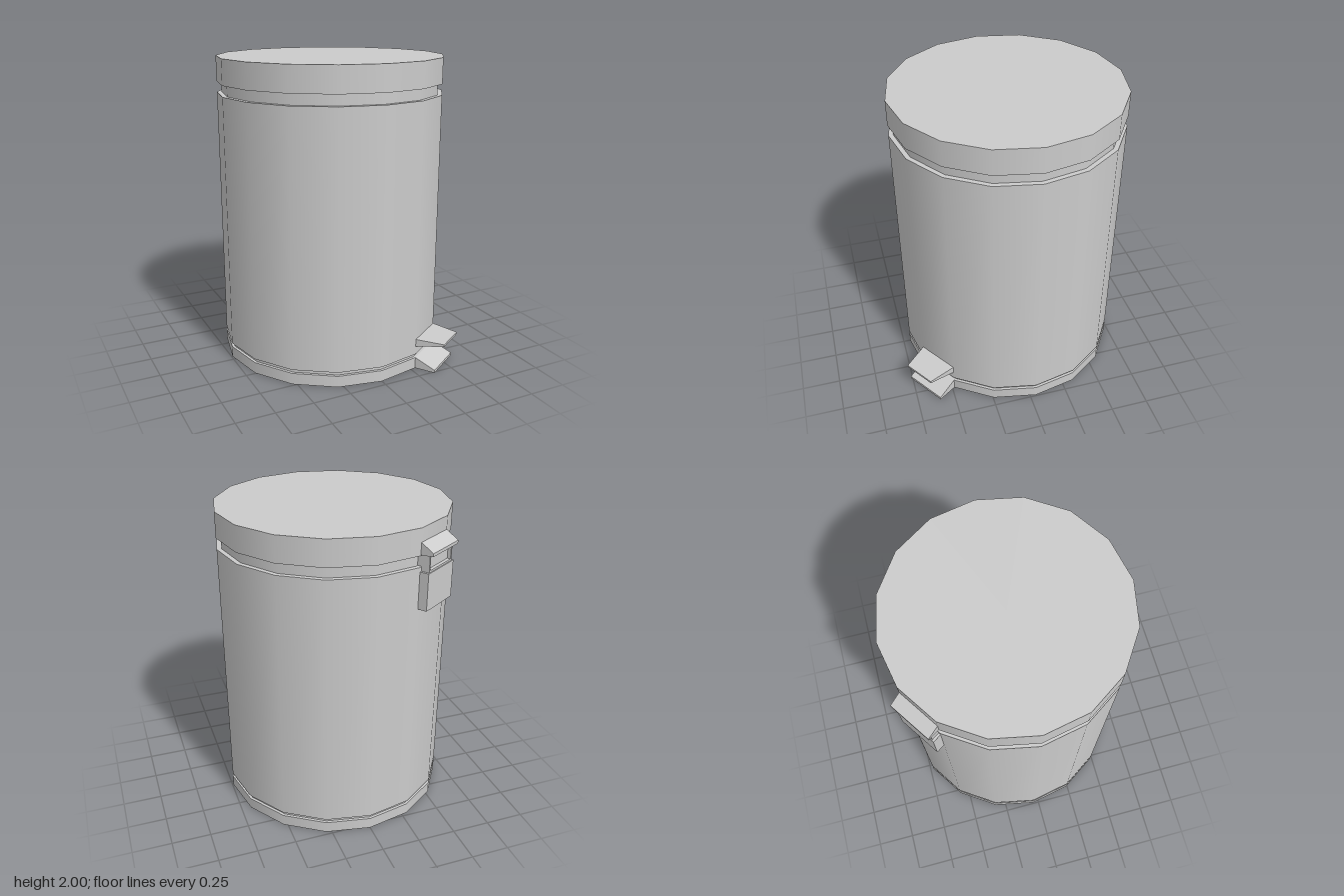
import * as THREE from 'three';

const SIDES = 16;
const RADIUS = 0.743;
const APOTHEM = RADIUS * Math.cos(Math.PI / SIDES);
const HALF = RADIUS * Math.sin(Math.PI / SIDES); // half the width of one facet
const FACET_TURN = -Math.PI / 2 + (1.5 * 2 * Math.PI) / SIDES; // turns local +x onto the pedal's facet

export function createModel() {
  const material = new THREE.MeshStandardMaterial({ color: 0xcccccc });
  const flat = new THREE.MeshStandardMaterial({ color: 0xcccccc, flatShading: true });
  const model = new THREE.Group();
  model.name = 'pedalBin';

  // Everything hangs on the axis of the drum
  const bin = new THREE.Group();
  bin.name = 'bin';
  bin.position.z = -0.04;
  model.add(bin);

  const drum = (name, radius, y0, y1) => {
    const mesh = new THREE.Mesh(new THREE.CylinderGeometry(radius, radius, y1 - y0, SIDES), material);
    mesh.name = name;
    mesh.position.y = (y0 + y1) / 2;
    bin.add(mesh);
  };
  drum('base', RADIUS, 0, 0.075);
  drum('baseGroove', 0.725, 0.075, 0.1);
  drum('body', RADIUS, 0.1, 1.765);
  drum('neck', 0.713, 1.765, 1.835);
  drum('lid', RADIUS, 1.835, 2);

  const facetGroup = (name, turn) => {
    const group = new THREE.Group();
    group.name = name;
    group.rotation.y = turn;
    bin.add(group);
    return group;
  };

  // Profile of [distance from the facet, height], extruded along the facet
  const prism = (group, name, profile, z0, z1, tipScale = 1) => {
    const shape = new THREE.Shape(profile.map(([d, y]) => new THREE.Vector2(APOTHEM + d, y)));
    const geometry = new THREE.ExtrudeGeometry(shape, { depth: z1 - z0, bevelEnabled: false });
    geometry.translate(0, 0, z0);
    const reach = Math.max(...profile.map(([d]) => d));
    const pos = geometry.attributes.position;
    for (let i = 0; i < pos.count; i++) {
      const t = Math.max(0, (pos.getX(i) - APOTHEM) / reach);
      pos.setZ(i, pos.getZ(i) * (1 + (tipScale - 1) * t));
    }
    geometry.computeVertexNormals();
    const mesh = new THREE.Mesh(geometry, flat);
    mesh.name = name;
    group.add(mesh);
  };

  // Foot pedal: tapered plate over a sloping toe, with a small stem between
  const pedal = facetGroup('pedal', FACET_TURN);
  prism(pedal, 'pedalPlate', [[0, 0.155], [0.184, 0.182], [0.184, 0.197], [0, 0.205]], -HALF, HALF, 0.76);
  prism(pedal, 'pedalStem', [[-0.02, 0.1], [0, 0.1], [0.05, 0.122], [0.05, 0.17], [-0.02, 0.17]], -0.09, -0.05);
  prism(pedal, 'toe', [[0, 0], [0.138, 0], [0.138, 0.018], [0, 0.075]], -HALF, HALF);

  // Hinge on the opposite facet
  const hinge = facetGroup('hinge', FACET_TURN + Math.PI);
  prism(hinge, 'hingeCap', [[0, 1.84], [0.08, 1.845], [0.08, 1.865], [0, 1.915]], -HALF, HALF);
  prism(hinge, 'hingePlate', [[0, 1.505], [0.058, 1.505], [0.058, 1.738], [0, 1.738]], -HALF, HALF);
  prism(hinge, 'hingeCore', [[-0.04, 1.735], [0.03, 1.735], [0.03, 1.845], [-0.04, 1.845]], -0.125, 0.125);

  // Raised rim around the hinge core
  const rim = (name, z0, z1, y0, y1) =>
    prism(hinge, name, [[0, y0], [0.052, y0], [0.052, y1], [0, y1]], z0, z1);
  rim('hingeRimBottom', -0.13, 0.13, 1.735, 1.75);
  rim('hingeRimTop', -0.13, 0.13, 1.835, 1.845);
  for (const s of [-1, 1]) rim('hingeRimSide', s * 0.124 - 0.006, s * 0.124 + 0.006, 1.75, 1.835);

  return model;
}
